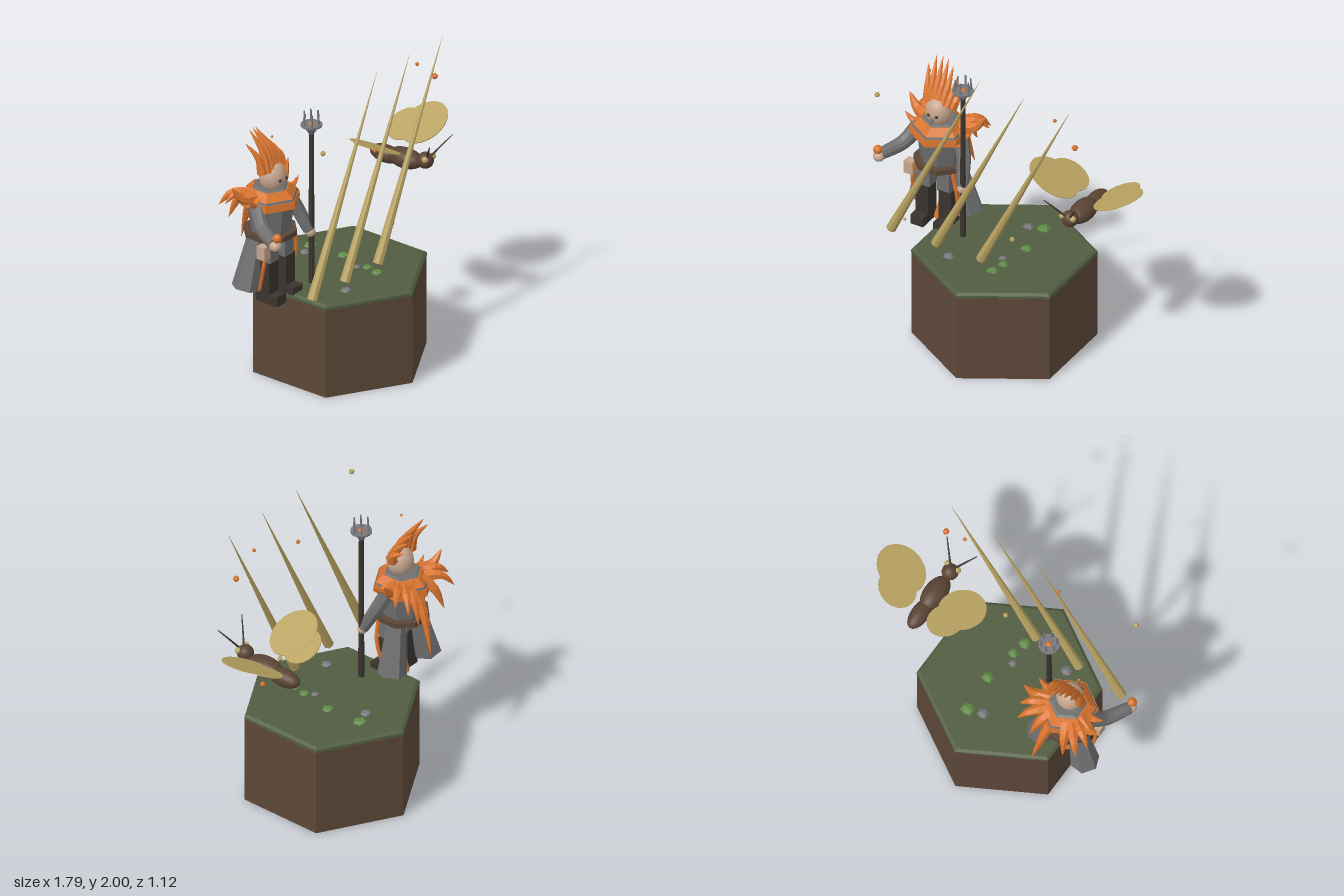
import * as THREE from 'three';

const mat = (name, color, flat = true) => {
  const m = new THREE.MeshStandardMaterial({ color, flatShading: flat });
  m.name = name;
  return m;
};
const V = (p) => new THREE.Vector3(...p);

export function createModel() {
  const earth = mat('earth', 0x5c4738), grass = mat('grass', 0x505c40), leaf = mat('leaf', 0x5f8a47);
  const orange = mat('orange', 0xd9742e), coat = mat('coat grey', 0x6f6f6f), skin = mat('skin', 0xc6a68e, false);
  const dark = mat('dark leather', 0x3a342f), tan = mat('tan', 0xb8a261), brown = mat('brown', 0x5a4334, false);
  const stone = mat('stone', 0x77777b);
  tan.side = orange.side = THREE.DoubleSide;

  const root = new THREE.Group();
  root.name = 'diorama';
  const group = (name, x = 0, y = 0, z = 0) => {
    const g = new THREE.Group();
    g.name = name;
    g.position.set(x, y, z);
    root.add(g);
    return g;
  };
  const add = (parent, name, geo, material, p = [0, 0, 0], s = [1, 1, 1]) => {
    const m = new THREE.Mesh(geo, material);
    m.name = name;
    m.position.set(...p);
    m.scale.set(...s);
    parent.add(m);
    return m;
  };
  // straight tapered rod from a to b
  const rod = (parent, name, a, b, r0, r1, sides, material) => {
    const A = V(a), B = V(b), d = B.clone().sub(A);
    const m = add(parent, name, new THREE.CylinderGeometry(r1, r0, d.length(), sides), material);
    m.position.copy(A).add(B).multiplyScalar(0.5);
    m.quaternion.setFromUnitVectors(new THREE.Vector3(0, 1, 0), d.normalize());
    return m;
  };
  // curved tapered horn through a few points
  const horn = (parent, name, pts, r0, r1, material, sides = 6, n = 7) => {
    const curve = new THREE.CatmullRomCurve3(pts.map(V));
    const geo = new THREE.TubeGeometry(curve, n, 1, sides);
    const pos = geo.attributes.position, v = new THREE.Vector3();
    for (let i = 0; i < pos.count; i++) {
      const t = Math.floor(i / (sides + 1)) / n, c = curve.getPointAt(t);
      v.fromBufferAttribute(pos, i).sub(c).multiplyScalar(r1 + (r0 - r1) * Math.pow(1 - t, 0.8)).add(c);
      pos.setXYZ(i, v.x, v.y, v.z);
    }
    geo.computeVertexNormals();
    return add(parent, name, geo, material);
  };
  const ball = new THREE.SphereGeometry(1, 20, 14);
  const chunk = new THREE.IcosahedronGeometry(1, 0);
  const gem = new THREE.IcosahedronGeometry(1, 1);

  // hexagonal island
  const island = group('island', -0.065, 0, 0);
  add(island, 'earthBlock', new THREE.CylinderGeometry(0.56, 0.56, 0.58, 6), earth, [0, 0.29, 0]);
  const turf = [[0, 0.575], [0.55, 0.575], [0.562, 0.585], [0.56, 0.602], [0.54, 0.615], [0, 0.615]];
  add(island, 'grassCap', new THREE.LatheGeometry(turf.map((p) => new THREE.Vector2(...p)), 6), grass);

  // tufts and pebbles on the grass: x, z, radius, is pebble
  const cover = group('groundCover');
  for (const [x, z, r, pebble] of [[0.03, -0.3, 0.045, 0], [-0.06, -0.27, 0.036, 1], [0.05, -0.065, 0.038, 0],
    [-0.02, 0.095, 0.026, 1], [0.015, 0.15, 0.032, 0], [-0.005, 0.24, 0.038, 0], [-0.31, 0.245, 0.036, 1]]) {
    add(cover, pebble ? 'pebble' : 'tuft', chunk, pebble ? stone : leaf, [x, 0.617, z], [r, r * 0.48, r]);
  }

  // robed figure
  const fig = group('figure', -0.583, 0, -0.12);
  for (const s of [-1, 1]) {
    add(fig, 'boot', new THREE.BoxGeometry(0.088, 0.265, 0.1), dark, [s * 0.08, 0.725, 0.04]);
    add(fig, 'toe', new THREE.BoxGeometry(0.088, 0.065, 0.16), dark, [s * 0.08, 0.622, 0.07]);
    add(fig, 'thigh', new THREE.BoxGeometry(0.085, 0.17, 0.1), coat, [s * 0.07, 0.935, 0.04]);
    const tail = rod(fig, 'coatTail', [s * 0.09, 1.02, -0.03], [s * 0.165, 0.675, -0.055], 0.055, 0.09, 6, coat);
    tail.name = 'coatTail';
    horn(fig, 'coatTrim', [[s * 0.13, 1.0, 0.08], [s * 0.155, 0.86, 0.075], [s * 0.145, 0.68, 0.035]], 0.014, 0.01, orange);
  }
  const turn = (geo) => geo.rotateY(Math.PI / 8);
  add(fig, 'torso', turn(new THREE.CylinderGeometry(0.155, 0.125, 0.24, 8)), coat, [0, 1.14, 0]);
  add(fig, 'belt', turn(new THREE.CylinderGeometry(0.168, 0.168, 0.034, 8)), brown, [0, 1.02, 0]).material = earth;
  add(fig, 'pouch', new THREE.BoxGeometry(0.06, 0.085, 0.06), skin, [-0.165, 0.955, 0.08]);
  rod(fig, 'tailFeather', [0, 0.595, 0], [0, 0.76, 0], 0.045, 0.002, 6, orange);

  // layered collar
  add(fig, 'collarLower', new THREE.CylinderGeometry(0.185, 0.192, 0.045, 6), orange, [0, 1.236, 0]);
  add(fig, 'collarBand', new THREE.CylinderGeometry(0.172, 0.18, 0.014, 6), coat, [0, 1.265, 0]);
  add(fig, 'collarUpper', new THREE.CylinderGeometry(0.125, 0.172, 0.045, 6), orange, [0, 1.293, 0]);
  add(fig, 'collarInside', new THREE.CylinderGeometry(0.1, 0.125, 0.012, 6), coat, [0, 1.318, 0]);

  // feather mantle: tip and base radius, mirrored
  for (const s of [-1, 1]) {
    for (const [x, y, z, r] of [[0.27, 1.37, -0.08, 0.05], [0.235, 1.3, 0.03, 0.035], [0.25, 1.24, -0.15, 0.045],
      [0.215, 1.2, -0.225, 0.045], [0.12, 1.08, -0.225, 0.045]]) {
      const lift = y > 1.25 ? -0.035 : 0.04;
      horn(fig, 'mantleFeather', [[s * x * 0.45, 1.27, z * 0.4], [s * x * 0.75, (1.27 + y) / 2 + lift, z * 0.75],
        [s * x, y, z]], r, 0.001, orange);
    }
  }
  horn(fig, 'capeFeather', [[0.02, 1.29, -0.08], [0.04, 1.13, -0.19], [0.07, 0.86, -0.28]], 0.045, 0.001, orange);

  // head and face
  add(fig, 'neck', new THREE.CylinderGeometry(0.05, 0.06, 0.08, 12), skin, [0, 1.31, 0.02]);
  add(fig, 'head', ball, skin, [0, 1.385, 0.02], [0.084, 0.1, 0.084]);
  for (const s of [-1, 1]) add(fig, 'eye', ball, dark, [s * 0.027, 1.385, 0.096], [0.011, 0.011, 0.011]);
  rod(fig, 'beak', [0, 1.365, 0.095], [0, 1.345, 0.125], 0.014, 0.003, 6, coat);

  // swept-back crest: base x, tip x, tip y
  for (const [bx, tx, ty] of [[-0.085, -0.135, 1.62], [-0.06, -0.085, 1.69], [-0.03, -0.045, 1.69], [0, -0.01, 1.68],
    [0.03, 0.025, 1.64], [0.06, 0.065, 1.59], [0.085, 0.1, 1.53]]) {
    horn(fig, 'crestSpike', [[bx, 1.43, 0.04 - bx * bx * 4], [(bx + tx) / 2 + 0.012, (1.43 + ty) / 2, -0.01],
      [tx, ty, -0.11 + Math.abs(tx) * 0.2]], 0.036, 0.001, orange);
  }

  // arms
  horn(fig, 'raisedArm', [[-0.14, 1.23, 0.01], [-0.2, 1.13, 0.1], [-0.275, 1.1, 0.25]], 0.052, 0.037, coat, 10, 10);
  add(fig, 'raisedHand', ball, skin, [-0.277, 1.092, 0.262], [0.037, 0.033, 0.037]);
  add(fig, 'emberOrb', gem, orange, [-0.277, 1.148, 0.275], [0.029, 0.029, 0.029]);
  horn(fig, 'staffArm', [[0.14, 1.23, 0], [0.19, 1.11, 0.05], [0.222, 0.965, 0.12]], 0.05, 0.035, coat, 8, 8);
  add(fig, 'staffHand', ball, skin, [0.225, 0.955, 0.128], [0.031, 0.031, 0.031]);

  // pronged staff
  const staff = group('staff', -0.35, 0, 0.01);
  rod(staff, 'shaft', [0, 0.61, 0], [0, 1.64, 0], 0.019, 0.015, 8, dark);
  rod(staff, 'socket', [0, 1.61, 0], [0, 1.665, 0], 0.015, 0.05, 8, stone);
  add(staff, 'dish', new THREE.CylinderGeometry(0.066, 0.066, 0.012, 16), stone, [0, 1.672, 0]);
  add(staff, 'coal', gem, orange, [0, 1.668, 0], [0.022, 0.022, 0.022]);
  for (let i = 0; i < 6; i++) {
    const c = Math.cos((i * Math.PI) / 3 + 0.3), s = Math.sin((i * Math.PI) / 3 + 0.3);
    rod(staff, 'prong', [c * 0.05, 1.67, s * 0.05], [c * 0.047, 1.755, s * 0.047], 0.007, 0.005, 6, stone);
  }

  // slanted thorns
  const thorns = group('thorns');
  for (const x of [-0.688, -0.373, -0.057]) {
    rod(thorns, 'thorn', [x, 0.712, 0.286], [x + 0.62, 1.997, 0.286], 0.032, 0.0008, 8, tan);
  }

  // moth
  const moth = group('moth', 0.513, 0, 0);
  add(moth, 'thorax', ball, brown, [0, 1.125, 0.04], [0.072, 0.062, 0.125]);
  add(moth, 'abdomen', ball, brown, [0, 1.108, -0.11], [0.057, 0.055, 0.115]);
  add(moth, 'head', ball, brown, [0, 1.157, 0.195], [0.052, 0.052, 0.052]);
  for (const s of [-1, 1]) {
    add(moth, 'eye', ball, tan, [s * 0.037, 1.18, 0.222], [0.02, 0.02, 0.02]);
    horn(moth, 'antenna', [[s * 0.02, 1.19, 0.225], [s * 0.06, 1.25, 0.265], [s * 0.112, 1.325, 0.318]], 0.007, 0.003, dark);
    const wing = new THREE.Group();
    wing.name = 'wing';
    wing.position.y = 1.155;
    wing.rotation.z = s * 0.455;
    moth.add(wing);
    const disc = new THREE.CylinderGeometry(1, 1, 0.006, 32);
    add(wing, 'foreWing', disc, tan, [s * 0.25, 0, 0.005], [0.17, 1, 0.138]);
    add(wing, 'hindWing', disc, tan, [s * 0.198, -0.001, -0.1], [0.13, 1, 0.112]);
  }

  // drifting embers and seeds: x, y, z, radius, is ember
  const drift = group('driftingBits');
  for (const [x, y, z, r, ember] of [[-0.72, 1.74, 0.395, 0.018, 0], [0.415, 1.845, 0.21, 0.013, 1],
    [0.565, 1.71, 0.225, 0.021, 1], [-0.17, 1.535, 0.355, 0.014, 1], [0.727, 1.178, -0.12, 0.018, 1],
    [0.135, 0.895, 0.24, 0.017, 0], [-0.63, 1.675, -0.07, 0.009, 1], [-0.62, 0.775, 0.24, 0.011, 0]]) {
    add(drift, ember ? 'ember' : 'seed', chunk, ember ? orange : tan, [x, y, z], [r, r, r]);
  }
  return root;
}
